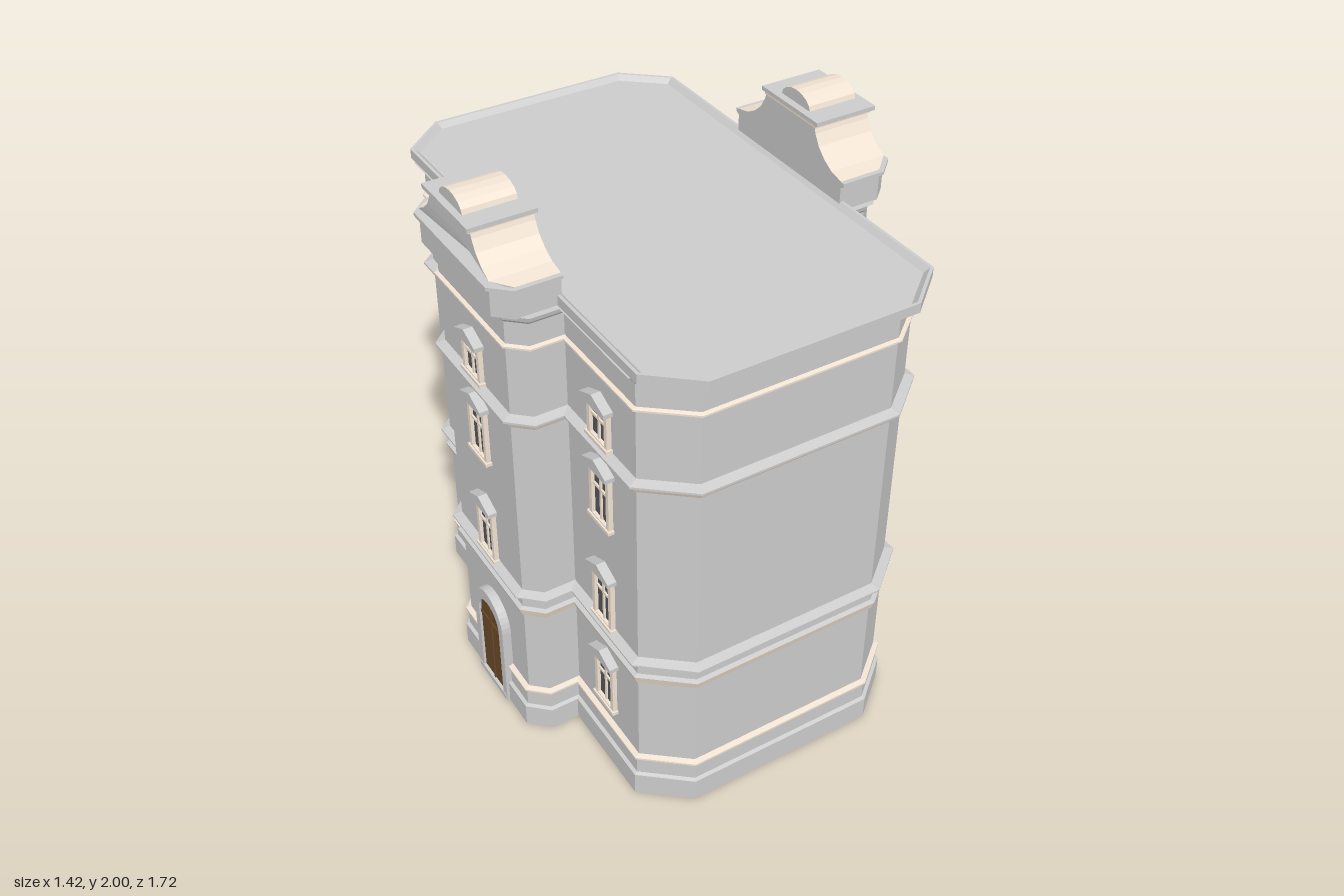
import * as THREE from 'three';

const mat = (color) => new THREE.MeshStandardMaterial({ color, flatShading: true, side: THREE.DoubleSide });
const stone = mat(0xcccccc), cream = mat(0xf0e2d2), glass = mat(0x59595c), wood = mat(0x6b4a2a);

function add(parent, name, geometry, material) {
  const m = new THREE.Mesh(geometry, material);
  m.name = name;
  parent.add(m);
  return m;
}

// Mirror one quarter of a plan (front to side) into a closed loop
function mirror4(q) {
  const r = [...q].reverse();
  return [...q, ...r.map(([x, z]) => [x, -z]), ...q.map(([x, z]) => [-x, -z]), ...r.map(([x, z]) => [-x, z])];
}

// Plans, each grown outward by d
const wallPlan = (d) => mirror4([
  [0.335 + 0.4 * d, 0.785 + d], [0.477 + d, 0.67 + 0.4 * d], [0.477 + d, 0.272 + d],
  [0.59 + 0.4 * d, 0.272 + d], [0.645 + d, 0.222 + 0.4 * d]]);
const rimPlan = (d) => mirror4([[0.352 + 0.4 * d, 0.843 + d], [0.5 + d, 0.716 + 0.4 * d]]);
const gablePlan = (d) => {
  const q = [[0.485, 0.28 + d], [0.632 + 0.4 * d, 0.28 + d], [0.686 + d, 0.23 + 0.4 * d]];
  return [...q, ...q.map(([x, z]) => [x, -z]).reverse()];
};

// Sweep a [height, outset] profile around a plan
function sweep(plan, profile) {
  const pos = [];
  for (let i = 0; i < profile.length - 1; i++) {
    const lo = plan(profile[i][1]), hi = plan(profile[i + 1][1]);
    const y0 = profile[i][0], y1 = profile[i + 1][0];
    lo.forEach((a, k) => {
      const n = (k + 1) % lo.length, b = lo[n], c = hi[n], e = hi[k];
      pos.push(a[0], y0, a[1], b[0], y0, b[1], c[0], y1, c[1]);
      pos.push(a[0], y0, a[1], c[0], y1, c[1], e[0], y1, e[1]);
    });
  }
  const g = new THREE.BufferGeometry();
  g.setAttribute('position', new THREE.Float32BufferAttribute(pos, 3));
  g.computeVertexNormals();
  return g;
}

const shapeOf = (pts) => new THREE.Shape(pts.map(([x, y]) => new THREE.Vector2(x, y)));
const extrude = (shape, depth) =>
  new THREE.ExtrudeGeometry(shape, { depth, bevelEnabled: false, curveSegments: 8 });

// Flat cap over a plan, facing up or down
function cap(plan, d, y, up) {
  const g = new THREE.ShapeGeometry(shapeOf(plan(d).map(([x, z]) => [x, up ? -z : z])));
  return g.rotateX(up ? -Math.PI / 2 : Math.PI / 2).translate(0, y, 0);
}

function box(parent, name, w, h, d, x, y, z, material) {
  return add(parent, name, new THREE.BoxGeometry(w, h, d).translate(x, y, z), material);
}

// Window with frame, crossbars, sill and pointed hood; its base is at y = 0
function makeWindow(height) {
  const g = new THREE.Group();
  g.name = 'window';
  const w = 0.058, h = height - 0.045, t = 0.016;
  const frame = shapeOf([[-w, 0], [w, 0], [w, h], [-w, h]]);
  frame.holes.push(new THREE.Path([[-w + t, t], [-w + t, h - t], [w - t, h - t], [w - t, t]]
    .map(([x, y]) => new THREE.Vector2(x, y))));
  add(g, 'windowFrame', extrude(frame, 0.016), cream);
  box(g, 'windowPane', 2 * (w - t), h - 2 * t, 0.004, 0, h / 2, 0.002, glass);
  box(g, 'mullion', 0.009, h - 2 * t, 0.01, 0, h / 2, 0.005, cream);
  box(g, 'transom', 2 * (w - t), 0.009, 0.01, 0, h * 0.62, 0.005, cream);
  box(g, 'windowSill', 2 * w + 0.014, 0.012, 0.022, 0, 0.006, 0.011, cream);
  const hood = [[-0.07, h], [0.07, h], [0.07, h + 0.015], [0, h + 0.045], [-0.07, h + 0.015]];
  add(g, 'windowHood', extrude(shapeOf(hood), 0.032), stone);
  return g;
}

// Arched doorway with two leaves
function arch(w, h) {
  const s = new THREE.Shape();
  s.moveTo(-w, 0);
  s.lineTo(w, 0);
  s.lineTo(w, h - w);
  s.absarc(0, h - w, w, 0, Math.PI, false);
  s.lineTo(-w, 0);
  return s;
}
function makeDoor() {
  const g = new THREE.Group();
  g.name = 'doorway';
  const surround = arch(0.105, 0.43);
  surround.holes.push(new THREE.Path(arch(0.075, 0.385).getPoints(8)));
  add(g, 'doorSurround', extrude(surround, 0.032), stone);
  add(g, 'doorLeaves', extrude(arch(0.076, 0.386), 0.023), wood);
  box(g, 'doorJoint', 0.008, 0.36, 0.006, 0, 0.19, 0.024, wood);
  box(g, 'doorRail', 0.148, 0.012, 0.006, 0, 0.29, 0.024, wood);
  box(g, 'doorstep', 0.2, 0.02, 0.034, 0, 0.01, 0.017, stone);
  return g;
}

// Curved gable on top of a projecting bay
function makeGable() {
  const g = new THREE.Group();
  g.name = 'gable';
  add(g, 'gableBase', sweep(gablePlan, [[1.71, 0], [1.795, 0], [1.803, 0.014], [1.815, 0.014], [1.815, -0.02]]), stone);

  // Concave shoulders, with the outer corners cut like the bay
  const half = [[0.28, 1.808], [0.28, 1.817], [0.23, 1.828], [0.19, 1.85], [0.158, 1.88], [0.137, 1.915], [0.128, 1.942]];
  const outline = [...half, ...half.map(([u, y]) => [-u, y]).reverse()];
  const body = extrude(shapeOf(outline), 0.2).rotateY(Math.PI / 2).translate(0.485, 0, 0);
  const p = body.attributes.position;
  for (let i = 0; i < p.count; i++) {
    const over = Math.abs(p.getZ(i)) - 0.23;
    if (over > 0 && p.getX(i) > 0.6) p.setX(i, 0.685 - over * 1.1);
  }
  body.computeVertexNormals();
  add(g, 'gableShoulders', body, [stone, cream]);

  box(g, 'gableMoulding', 0.21, 0.01, 0.275, 0.589, 1.938, 0, cream);
  box(g, 'gableCornice', 0.222, 0.014, 0.296, 0.591, 1.95, 0, stone);

  // Rounded crest
  const crest = [];
  for (let i = 0; i <= 8; i++) {
    const a = (i / 8) * Math.PI;
    crest.push([0.075 * Math.cos(a), 1.955 + 0.045 * Math.sin(a)]);
  }
  add(g, 'gableCrest', extrude(shapeOf(crest), 0.175).rotateY(Math.PI / 2).translate(0.505, 0, 0), [stone, cream]);
  return g;
}

export function createModel() {
  const model = new THREE.Group();
  model.name = 'building';
  const house = new THREE.Group();
  house.name = 'house';
  house.rotation.y = 0.046;
  model.add(house);

  // Walls and their mouldings, bottom to top
  const bands = [
    ['plinth', stone, [[0, 0.022], [0.085, 0.022], [0.09, 0.01], [0.155, 0.01]]],
    ['plinthMoulding', cream, [[0.155, 0.01], [0.158, 0.018], [0.165, 0.018], [0.17, 0]]],
    ['groundFloorWall', stone, [[0.17, 0], [0.515, 0]]],
    ['lowerBand', cream, [[0.515, 0], [0.515, 0.008], [0.545, 0.018]]],
    ['lowerFrieze', stone, [[0.545, 0.018], [0.55, 0.003], [0.6, 0.003]]],
    ['lowerCornice', stone, [[0.6, 0.003], [0.606, 0.03], [0.612, 0.03], [0.622, 0]]],
    ['middleWall', stone, [[0.622, 0], [1.298, 0]]],
    ['upperBand', cream, [[1.298, 0], [1.298, 0.008], [1.322, 0.02]]],
    ['upperCornice', stone, [[1.322, 0.02], [1.325, 0.03], [1.332, 0.03], [1.342, 0]]],
    ['topFloorWall', stone, [[1.342, 0], [1.585, 0]]],
    ['thinMoulding', cream, [[1.585, 0], [1.588, 0.012], [1.594, 0.012], [1.598, 0]]],
    ['friezeWall', stone, [[1.598, 0], [1.675, 0]]],
    ['eavesMoulding', stone, [[1.675, 0], [1.685, 0.008], [1.7, 0.012]]],
    ['eavesBand', cream, [[1.7, 0.012], [1.712, 0.028]]],
  ];
  for (const [name, material, profile] of bands) add(house, name, sweep(wallPlan, profile), material);
  add(house, 'underside', cap(wallPlan, 0.022, 0, false), stone);
  add(house, 'eavesTop', cap(wallPlan, 0.028, 1.712, true), stone);

  // Roof with raised rim
  add(house, 'roofRim', sweep(rimPlan, [[1.712, -0.07], [1.712, 0], [1.745, 0], [1.745, -0.01], [1.728, -0.027]]), stone);
  add(house, 'roof', cap(rimPlan, -0.027, 1.728, true), stone);

  // Gables on both bays
  for (const turn of [0, Math.PI]) {
    const gable = makeGable();
    gable.rotation.y = turn;
    house.add(gable);
  }

  // Windows and door on the -x side
  const place = (part, x, y, z) => {
    part.rotation.y = -Math.PI / 2;
    part.position.set(x, y, z);
    house.add(part);
  };
  const floors = [[0.612, 0.255], [1.03, 0.255], [1.342, 0.182]];
  for (const [z, x] of [[-0.475, -0.477], [0, -0.645], [0.475, -0.477]]) {
    for (const [y, h] of floors) place(makeWindow(h), x, y, z);
    if (z !== 0) place(makeWindow(0.255), x, 0.235, z);
  }
  place(makeDoor(), -0.645, 0, 0);
  return model;
}
